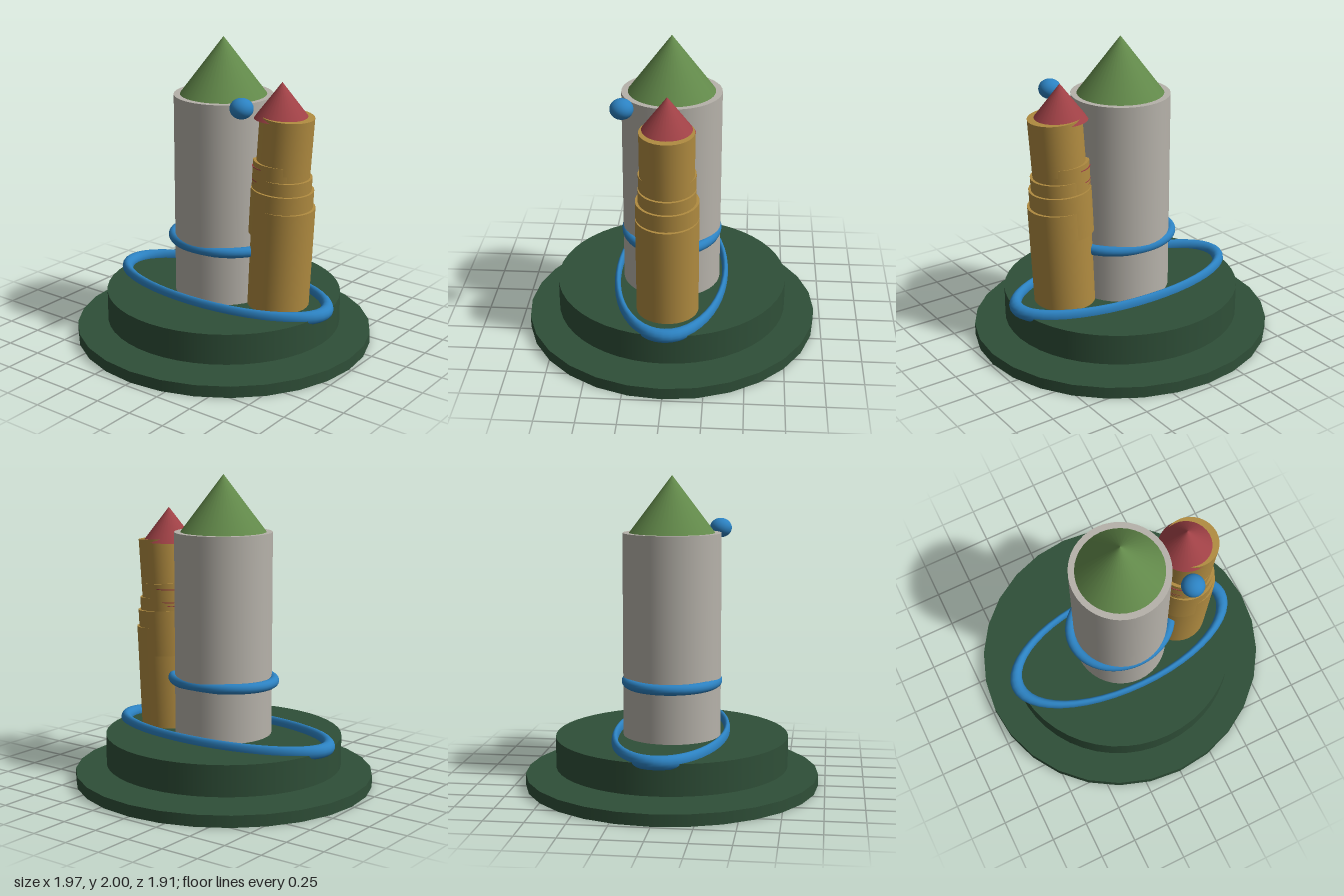
import * as THREE from 'three';

export function createModel() {
  const model = new THREE.Group();
  model.name = 'twinTowerMonument';

  const mat = (name, color) => {
    const m = new THREE.MeshStandardMaterial({ color });
    m.name = name;
    return m;
  };
  const darkGreen = mat('darkGreen', 0x2f4f38);
  const stone = mat('stoneGrey', 0xb6b2aa);
  const leaf = mat('leafGreen', 0x62894a);
  const red = mat('brickRed', 0xa04146);
  const ochre = mat('ochre', 0xb08b40);
  const blue = mat('blue', 0x2c82c2);

  const add = (name, geometry, material, x = 0, y = 0, z = 0) => {
    const mesh = new THREE.Mesh(geometry, material);
    mesh.name = name;
    mesh.position.set(x, y, z);
    model.add(mesh);
    return mesh;
  };

  // Upright cylinder between two heights
  const drum = (name, r, y0, y1, material, x = 0, sides = 32) =>
    add(name, new THREE.CylinderGeometry(r, r, y1 - y0, sides), material, x, (y0 + y1) / 2);

  // Slightly oval stepped base, with a gap between the two discs
  drum('baseDisc', 0.983, 0, 0.075, darkGreen, 0, 28).scale.z = 0.972;
  drum('upperDisc', 0.777, 0.12, 0.32, darkGreen, 0, 48).scale.z = 0.975;

  // Main tower and its roof
  drum('mainTower', 0.314, 0.31, 1.635, stone, 0, 40).scale.z = 1.012;
  add('mainRoof', new THREE.ConeGeometry(0.276, 0.365, 40), leaf, 0, 1.8175);

  // Leaning side tower: [radius, bottom y, top y, bottom x, top x]
  const tiers = [
    [0.198, 0.31, 0.985, 0.437, 0.472],
    [0.198, 0.8, 1.098, 0.442, 0.46],
    [0.18, 1.0, 1.182, 0.456, 0.467],
    [0.179, 1.0, 1.277, 0.436, 0.452],
    [0.17, 1.1, 1.565, 0.454, 0.488],
  ];
  tiers.forEach(([r, y0, y1, x0, x1], i) => {
    const length = Math.hypot(x1 - x0, y1 - y0);
    const tier = add(`sideTowerTier${i + 1}`, new THREE.CylinderGeometry(r, r, length, 32), ochre,
      (x0 + x1) / 2, (y0 + y1) / 2);
    tier.rotation.z = -Math.atan2(x1 - x0, y1 - y0);
  });

  // Side roof, offset from the lean, and thin seams showing on the inner side
  add('sideRoof', new THREE.ConeGeometry(0.172, 0.225, 32), red, 0.447, 1.6575);
  [1.135, 1.16, 1.245].forEach((y) => drum('redSeam', 0.178, y - 0.003, y + 0.003, red, 0.442));

  // Flat-lying oval rings
  const ring = (name, radius, tube, y, depth) => {
    const geometry = new THREE.TorusGeometry(radius, tube, 16, 48).rotateX(Math.PI / 2);
    add(name, geometry.scale(1, 1, depth), blue, 0, y);
  };
  ring('groundRing', 0.782, 0.044, 0.328, 0.455);
  ring('towerRing', 0.345, 0.034, 0.677, 0.86);

  // Floating orb beside the main tower
  add('orb', new THREE.SphereGeometry(0.073, 24, 16), blue, 0.346, 1.645, 0.282).scale.y = 0.88;

  return model;
}
